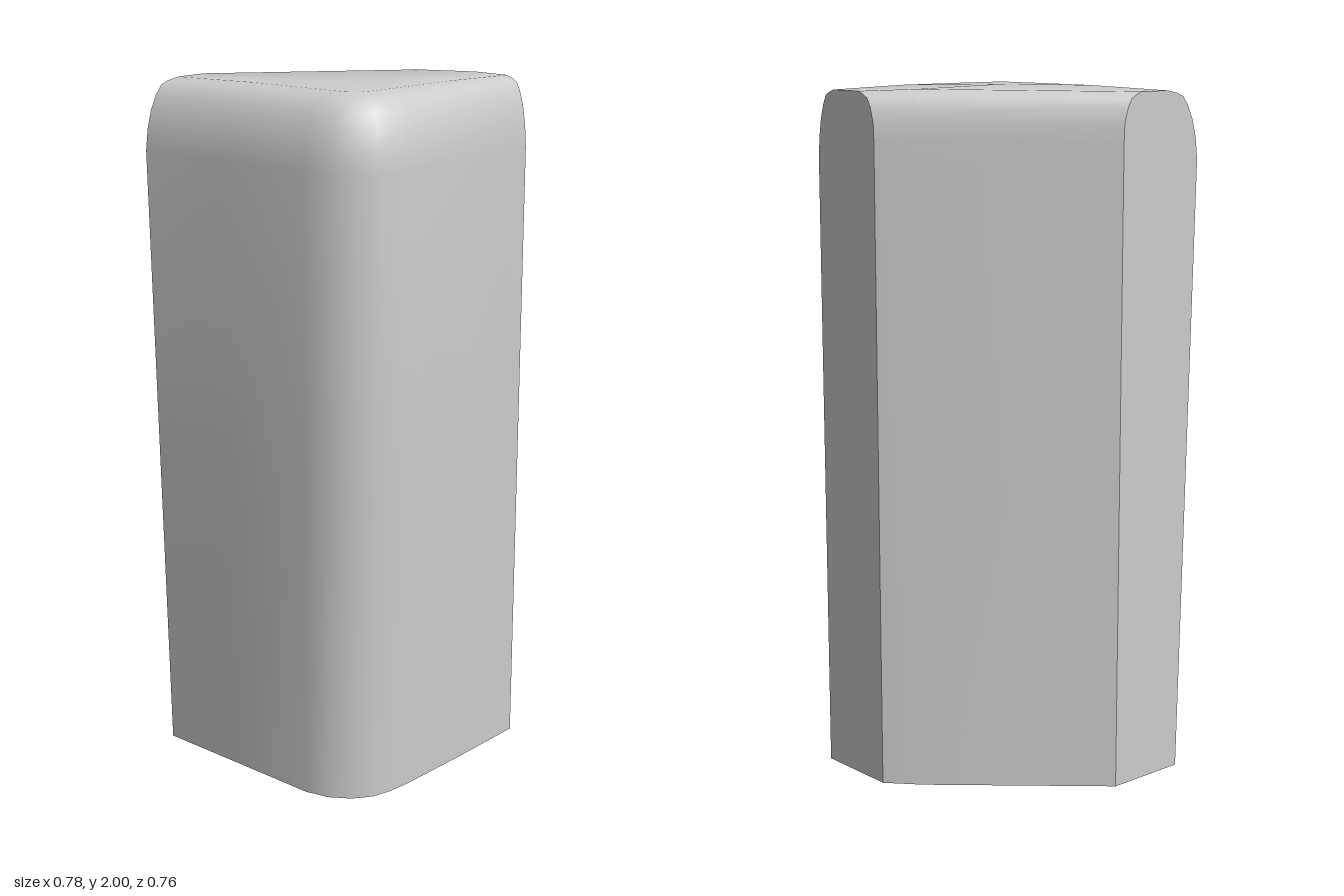
import * as THREE from 'three';
import { toCreasedNormals } from 'three/addons/utils/BufferGeometryUtils.js';

// Plan outline, counter-clockwise from above:
// [x, z at the base, x, z at the shoulder, inset direction x, z, diagonal inset x, z, on a cut plane]
const outline = [
  [-0.10, -0.38, -0.10, -0.38, 0, 0, -1, 0, 1],
  [-0.35, -0.38, -0.39, -0.38, 1, 0, 0, 0, 1],
  [-0.342, -0.1, -0.367, -0.1, 1, 0, 0, 0, 0],
  [-0.335, 0.17, -0.344, 0.18, 1, -0.1, 0, 0, 0],
  [-0.315, 0.24, -0.327, 0.26, 0.9, -0.4, 0, 0, 0],
  [-0.275, 0.295, -0.29, 0.315, 0.7, -0.7, 0, 0, 0],
  [-0.225, 0.33, -0.235, 0.357, 0.4, -0.9, 0, 0, 0],
  [-0.17, 0.344, -0.17, 0.374, 0.1, -1, 0, 0, 0],
  [-0.10, 0.35, -0.10, 0.38, 0, -1, 0, 0, 0],
  [0.15, 0.349, 0.15, 0.365, 0, -0.8, 0, 0, 0],
  [0.39, 0.343, 0.39, 0.343, 0, -0.6, 0, 0, 1],
  [0.39, 0.09, 0.39, 0.09, 0, 0, 0, 1, 1],
  [0.31, 0.0, 0.312, 0.006, 0, 0, -0.5, 0.5, 0],
];

// Levels: [height, outer inset, diagonal inset]
const levels = [
  [0, 0, 0], [0.9, 0, 0], [1.8, 0, 0], [1.86, 0.008, 0], [1.91, 0.022, 0.002],
  [1.95, 0.042, 0.014], [1.975, 0.062, 0.028], [1.99, 0.085, 0.045], [1.998, 0.125, 0.065],
];

export function createModel() {
  const group = new THREE.Group();
  const n = outline.length;
  const positions = [];
  const index = [];

  // Stacked cross-sections, rounded over at the top
  for (const [y, e, d] of levels) {
    const t = Math.min(y / 1.8, 1);
    for (const [x0, z0, x1, z1, ex, ez, dx, dz, cut] of outline) {
      positions.push(
        x0 + (x1 - x0) * t + ex * e + dx * d,
        y - (cut && y > 1.98 ? 0.006 : 0),
        z0 + (z1 - z0) * t + ez * e + dz * d,
      );
    }
  }

  // Side walls
  for (let r = 0; r < levels.length - 1; r++) {
    for (let i = 0; i < n; i++) {
      const j = (i + 1) % n;
      const a = r * n + i, b = r * n + j;
      index.push(a, b, b + n, a, b + n, a + n);
    }
  }

  // Base and gently crowned top
  const bottom = positions.length / 3;
  positions.push(-0.05, 0, 0.08, -0.05, 2, 0.08);
  const last = (levels.length - 1) * n;
  for (let i = 0; i < n; i++) {
    const j = (i + 1) % n;
    index.push(bottom, j, i, bottom + 1, last + i, last + j);
  }

  const geometry = new THREE.BufferGeometry();
  geometry.setAttribute('position', new THREE.Float32BufferAttribute(positions, 3));
  geometry.setIndex(index);

  const stone = new THREE.Mesh(
    toCreasedNormals(geometry, 0.6),
    new THREE.MeshStandardMaterial({ color: 0xcccccc }),
  );
  stone.name = 'roundedCornerBlock';
  group.add(stone);
  return group;
}
